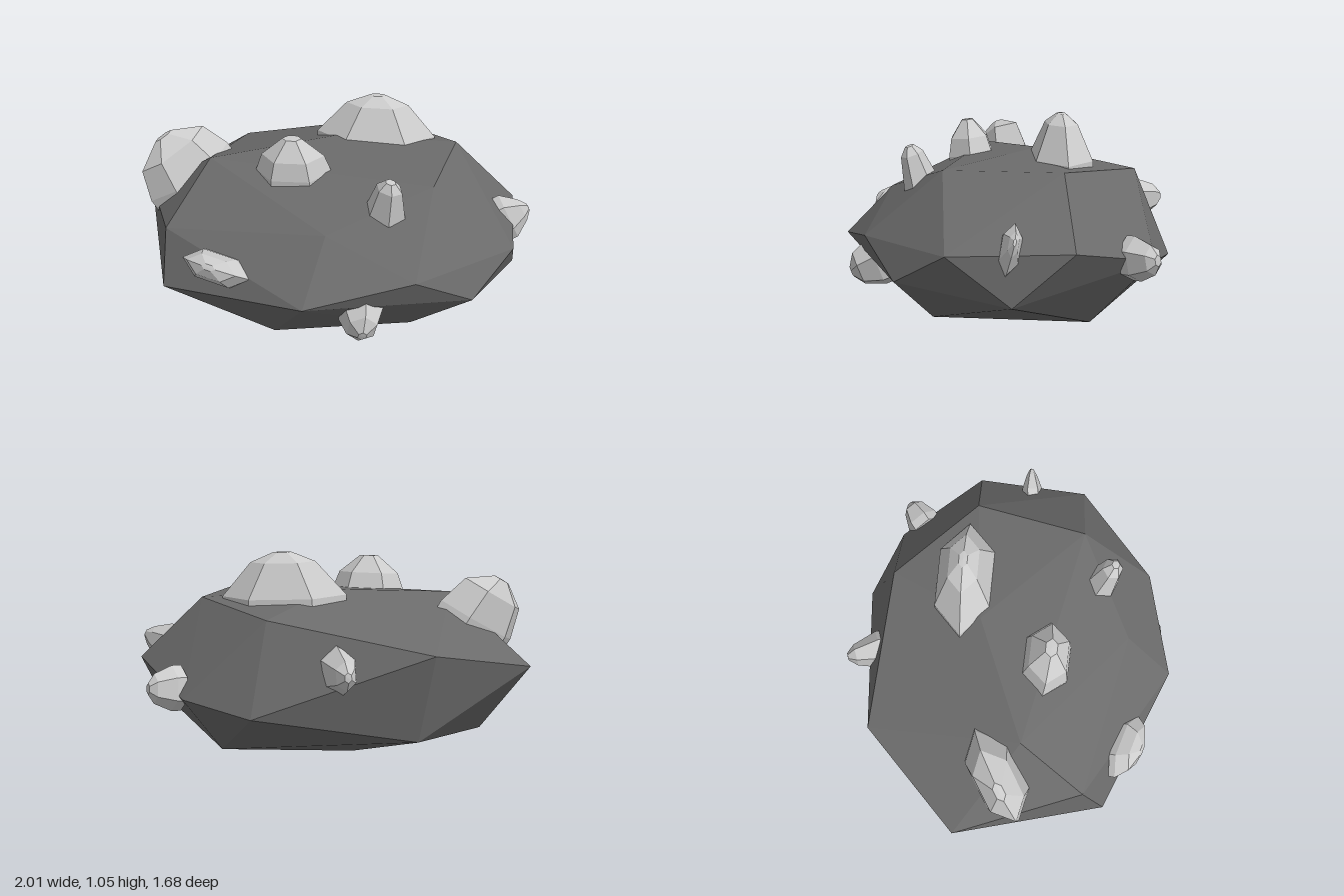
import * as THREE from 'three';
import { ConvexGeometry } from 'three/addons/geometries/ConvexGeometry.js';

const rockMaterial = new THREE.MeshStandardMaterial({ color: 0x6b6b6b, flatShading: true });
const crystalMaterial = new THREE.MeshStandardMaterial({ color: 0xcccccc, flatShading: true });

// Corners of the faceted boulder
const ROCK = [
  // upper ring and crown
  [0, 0.85, -0.15], [-0.62, 0.81, 0.06], [0.49, 0.81, 0.37], [0.64, 0.81, -0.18],
  [0.27, 0.77, -0.6], [-0.02, 0.66, 0.6],
  // belt
  [-1, 0.49, -0.27], [-0.81, 0.57, 0.37], [-0.82, 0.31, 0.49], [-0.12, 0.4, 0.84],
  [0.4, 0.49, 0.74], [0.68, 0.33, 0.61], [0.89, 0.49, 0.39], [0.94, 0.26, 0.1],
  [0.96, 0.5, -0.18], [0.67, 0.39, -0.61], [0.33, 0.34, -0.77], [-0.51, 0.63, -0.7],
  // underside
  [-0.44, 0.2, -0.62], [-0.78, 0.11, -0.05], [-0.28, 0.055, 0.48], [0.4, 0.075, 0.42],
  [0.53, 0.06, -0.33], [-0.12, 0, -0.14],
];

// Crystals: base centre, growth axis, long direction of the base,
// size [half length, height, half width], shoulder [radius, height], tip radius
const CRYSTALS = [
  { name: 'largeTopCrystal', at: [0.22, 0.83, -0.235], axis: [0.03, 1, 0], along: [1, 0, 0.05],
    size: [0.31, 0.215, 0.16], shoulder: [0.52, 0.78], tip: 0.15 },
  { name: 'mediumTopCrystal', at: [-0.19, 0.8, 0.18], axis: [-0.03, 1, 0.1], along: [1, 0, 0.1],
    size: [0.19, 0.18, 0.13], shoulder: [0.82, 0.5], tip: 0.25 },
  { name: 'tallFrontCrystal', at: [0.26, 0.71, 0.46], axis: [0.1, 1, 0.3], along: [1, 0, 0.5],
    size: [0.105, 0.2, 0.085], shoulder: [0.62, 0.8], tip: 0.25 },
  { name: 'sideCrystal', at: [-0.75, 0.68, -0.05], axis: [-0.5, 0.85, 0.06], along: [-0.7, -0.5, 0.42],
    size: [0.25, 0.24, 0.13], shoulder: [0.78, 0.65], tip: 0.2 },
  { name: 'lowFrontCrystal', at: [-0.54, 0.48, 0.6], axis: [-0.25, 0.5, 0.8], along: [1, -0.1, 0.45],
    size: [0.18, 0.09, 0.08], shoulder: [0.72, 0.65], tip: 0.2 },
  { name: 'underFrontCrystal', at: [0.15, 0.3, 0.69], axis: [0.05, -0.35, 0.93], along: [0.2, 1, 0.4],
    size: [0.135, 0.135, 0.11], shoulder: [0.68, 0.7], tip: 0.2 },
  { name: 'rightCrystal', at: [0.9, 0.52, 0.1], axis: [0.88, 0.45, -0.05], along: [-0.4, 1, -0.25],
    size: [0.12, 0.11, 0.05], shoulder: [0.5, 0.7], tip: 0.15 },
  { name: 'backRightCrystal', at: [0.74, 0.42, -0.51], axis: [0.8, 0.1, -0.55], along: [0.1, 1, 0.1],
    size: [0.11, 0.12, 0.09], shoulder: [0.65, 0.75], tip: 0.25 },
  { name: 'backCrystal', at: [-0.07, 0.55, -0.68], axis: [-0.28, 0.06, -0.95], along: [0.1, 1, 0.1],
    size: [0.12, 0.165, 0.09], shoulder: [0.58, 0.75], tip: 0.2 },
];

// Six-sided stub with a sunk root, a sloping shoulder and a blunt tip
function makeCrystal({ name, at, axis, along, size, shoulder, tip }) {
  const profile = [
    [0.001, -0.4], [1, -0.4], [1, 0], [shoulder[0], shoulder[1]], [tip, 1], [0.001, 1.01],
  ].map(([r, h]) => new THREE.Vector2(r, h));
  const geometry = new THREE.LatheGeometry(profile, 6, Math.PI / 2);
  geometry.scale(...size);
  const y = new THREE.Vector3(...axis).normalize();
  const x = new THREE.Vector3(...along);
  x.addScaledVector(y, -x.dot(y)).normalize();
  const z = new THREE.Vector3().crossVectors(x, y);
  geometry.applyMatrix4(new THREE.Matrix4().makeBasis(x, y, z).setPosition(...at));
  const mesh = new THREE.Mesh(geometry, crystalMaterial);
  mesh.name = name;
  return mesh;
}

export function createModel() {
  const group = new THREE.Group();
  group.name = 'crystalBoulder';
  const rock = new THREE.Mesh(
    new ConvexGeometry(ROCK.map((p) => new THREE.Vector3(...p))), rockMaterial);
  rock.name = 'boulder';
  group.add(rock);
  for (const crystal of CRYSTALS) group.add(makeCrystal(crystal));
  return group;
}
